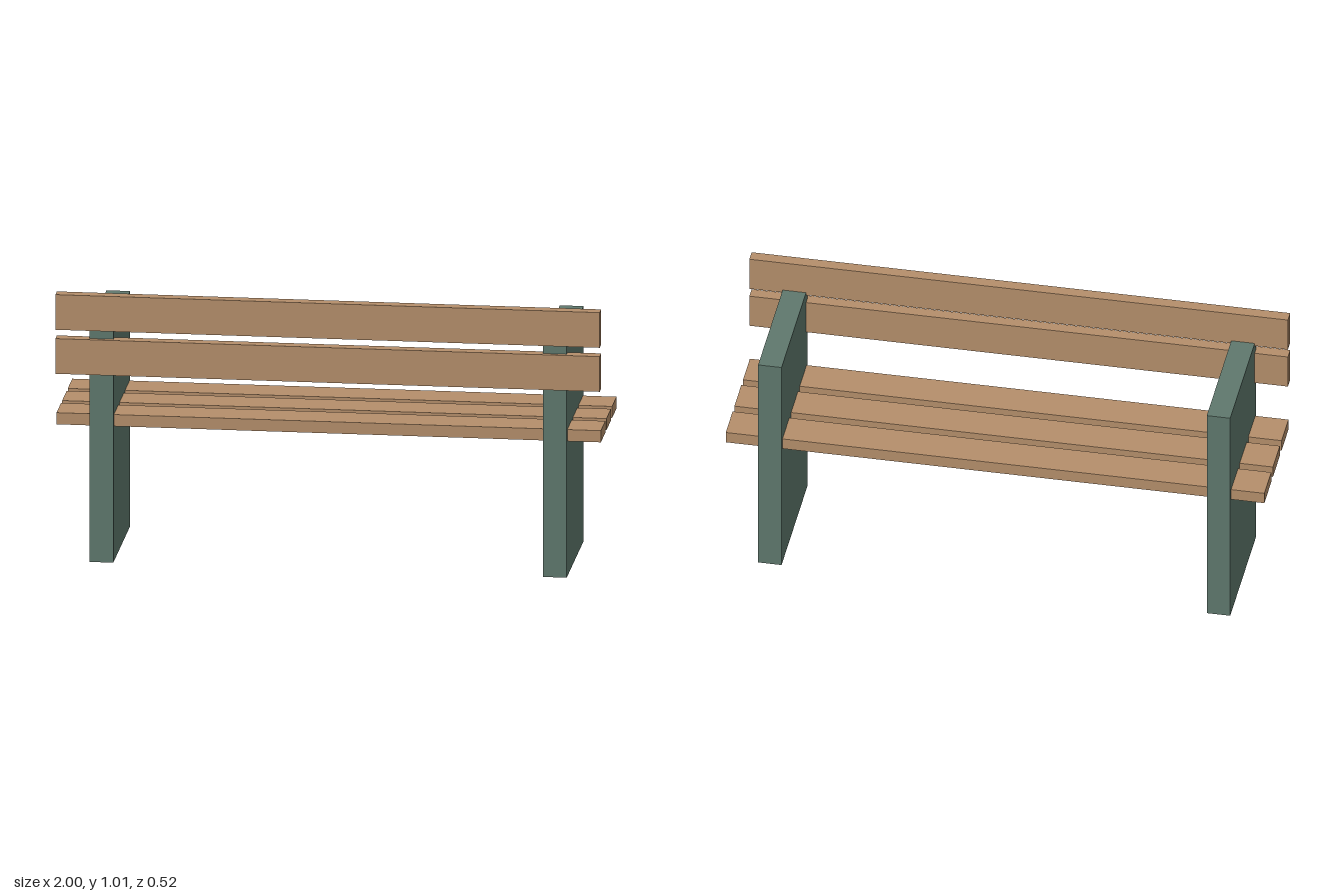
import * as THREE from 'three';

export function createModel() {
  const bench = new THREE.Group();
  bench.name = 'bench';
  const wood = new THREE.MeshStandardMaterial({ color: 0xb58f6b });
  const green = new THREE.MeshStandardMaterial({ color: 0x5f786d });

  const addBox = (name, material, size, position) => {
    const mesh = new THREE.Mesh(new THREE.BoxGeometry(...size), material);
    mesh.name = name;
    mesh.position.set(...position);
    bench.add(mesh);
  };

  const LENGTH = 2, WIDTH = 0.133, THICK = 0.044;

  // Solid end panels that act as legs and armrests
  for (const [name, side] of [['leftEndPanel', 1], ['rightEndPanel', -1]]) {
    addBox(name, green, [0.087, 0.89, 0.5], [side * 0.833, 0.445, -0.008]);
  }

  // Three flat seat slats passing through the panels
  for (let i = 0; i < 3; i++) {
    addBox(`seatSlat${i + 1}`, wood, [LENGTH, THICK, WIDTH], [0, 0.534, 0.159 - i * 0.1665]);
  }

  // Two upright slats let into the panel edges
  for (let i = 0; i < 2; i++) {
    addBox(`backrestSlat${i + 1}`, wood, [LENGTH, WIDTH, THICK], [0, 0.779 + i * 0.1665, 0.237]);
  }

  return bench;
}
